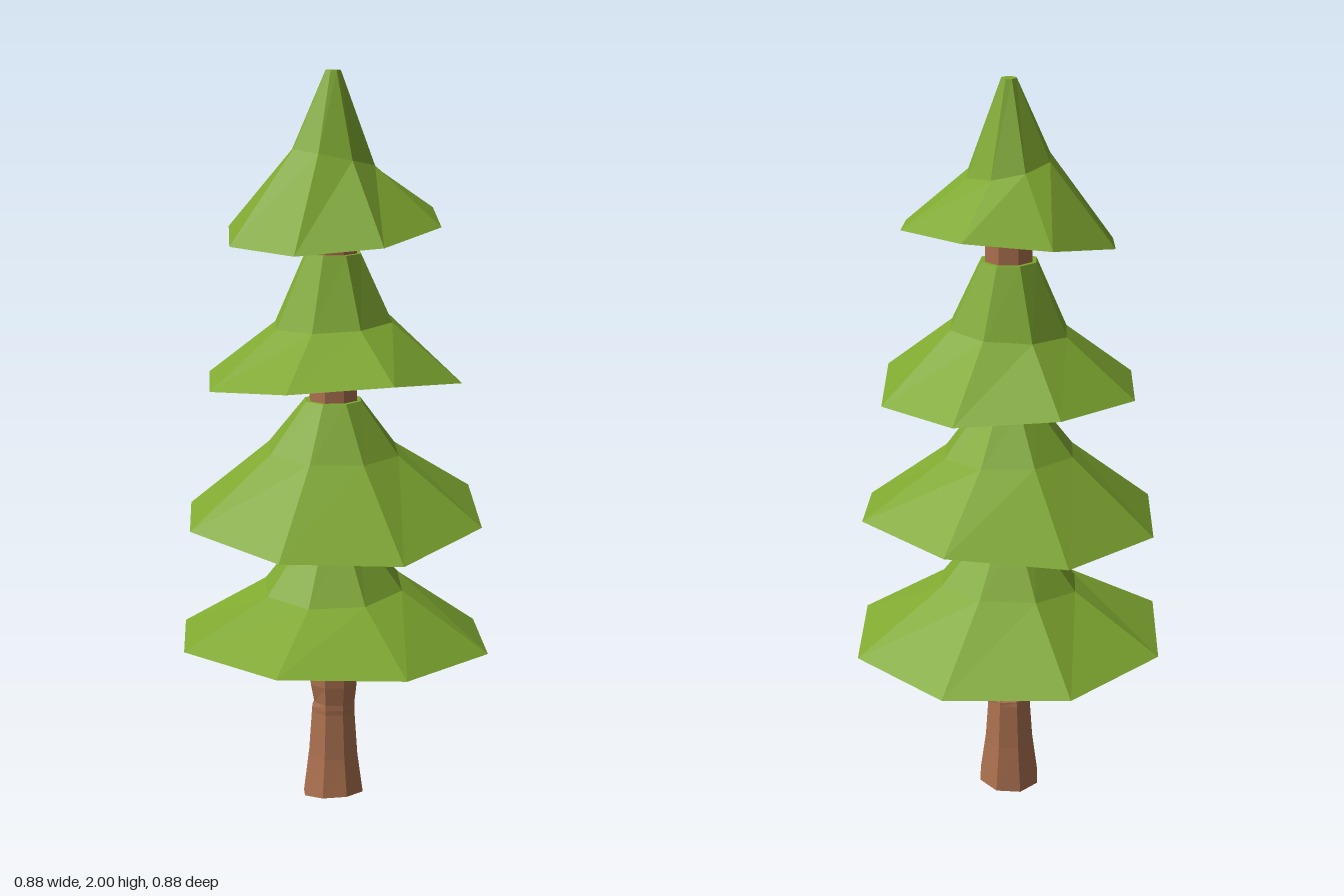
import * as THREE from 'three';

const SIDES = 8;

// Closed, faceted solid through 8-sided rings listed from bottom to top.
// tx / tz tilt a ring towards +x / +z, bend warps it like a saddle.
function ringSolid(name, rings, material, radiusAt = (ring) => ring.r) {
  const points = rings.map((ring) => {
    const { y, tx = 0, tz = 0, bend = 0 } = ring;
    return Array.from({ length: SIDES }, (_, i) => {
      const a = (i / SIDES) * Math.PI * 2;
      const r = radiusAt(ring, a);
      const lift = tx * Math.cos(a) + tz * Math.sin(a) + bend * Math.cos(2 * a);
      return [r * Math.cos(a), y + lift, r * Math.sin(a)];
    });
  });
  const pos = [];
  const tri = (...corners) => corners.forEach((p) => pos.push(...p));
  const last = rings.length - 1;
  const low = [0, rings[0].y, 0];
  const high = [0, rings[last].y, 0];
  for (let i = 0; i < SIDES; i++) {
    const k = (i + 1) % SIDES;
    tri(low, points[0][i], points[0][k]);
    tri(high, points[last][k], points[last][i]);
    for (let j = 0; j < last; j++) {
      tri(points[j][i], points[j + 1][i], points[j][k]);
      tri(points[j][k], points[j + 1][i], points[j + 1][k]);
    }
  }
  const geometry = new THREE.BufferGeometry();
  geometry.setAttribute('position', new THREE.Float32BufferAttribute(pos, 3));
  geometry.computeVertexNormals();
  const mesh = new THREE.Mesh(geometry, material);
  mesh.name = name;
  return mesh;
}

export function createModel() {
  const tree = new THREE.Group();
  tree.name = 'pineTree';
  const bark = new THREE.MeshStandardMaterial({ color: 0xad7250, flatShading: true });
  const needles = new THREE.MeshStandardMaterial({ color: 0x7fa830, flatShading: true });

  // Trunk: flared, slanted foot and a small notch cut into the back
  const notchAngle = -Math.PI * 0.58;
  const trunkRings = [
    { y: 0.014, r: 0.087, tz: 0.012 },
    { y: 0.13, r: 0.071 },
    { y: 0.255, r: 0.062 },
    { y: 0.268, r: 0.063, cut: 0.004 },
    { y: 0.283, r: 0.062, cut: 0.018 },
    { y: 0.335, r: 0.068 },
    { y: 0.47, r: 0.069 },
    { y: 1.65, r: 0.066 },
  ];
  tree.add(ringSolid('trunk', trunkRings, bark, ({ r, cut = 0 }, a) =>
    r - cut * Math.max(0, Math.cos(a - notchAngle))));

  // Branch tiers: tilted rim, shoulder, narrow top
  const tiers = [
    [
      { y: 0.464, r: 0.44, tx: -0.013, tz: 0.01, bend: 0.004 },
      { y: 0.615, r: 0.197, tx: 0.012, tz: -0.012 },
      { y: 0.77, r: 0.075 },
    ],
    [
      { y: 0.81, r: 0.418, tx: 0.02, tz: -0.02, bend: 0.02 },
      { y: 0.995, r: 0.185, tz: -0.01 },
      { y: 1.13, r: 0.08 },
    ],
    [
      { y: 1.19, r: 0.358, tx: -0.008, tz: 0.017, bend: -0.018 },
      { y: 1.34, r: 0.165, tx: 0.01 },
      { y: 1.525, r: 0.078 },
    ],
    [
      { y: 1.593, r: 0.297, tx: 0.037, tz: -0.023 },
      { y: 1.775, r: 0.115, tx: -0.025 },
      { y: 2, r: 0.021 },
    ],
  ];
  tiers.forEach((rings, i) => tree.add(ringSolid(`branchTier${i + 1}`, rings, needles)));

  return tree;
}
